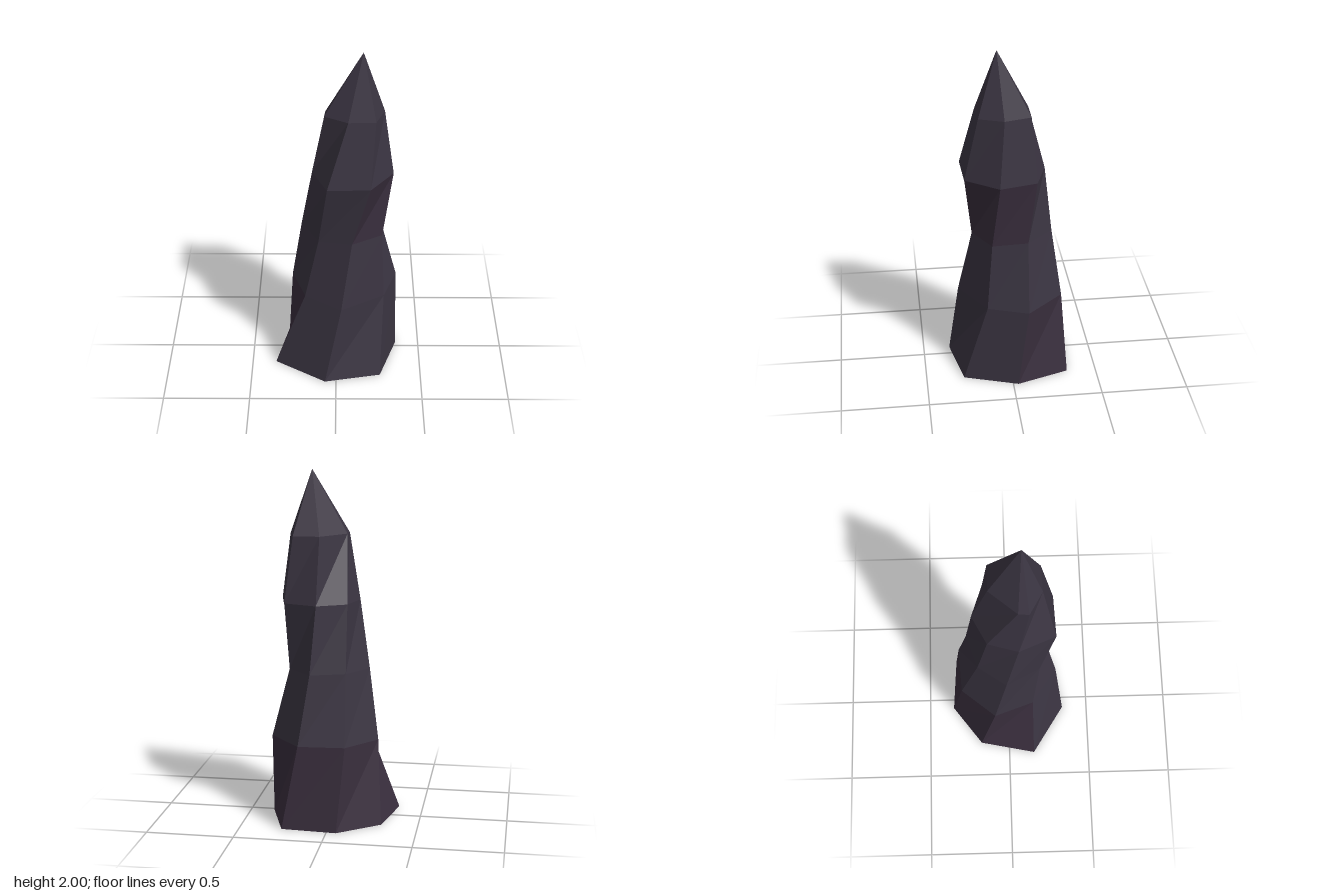
import * as THREE from 'three';

// Seven-sided cross-sections, [x, z] clockwise from the left when seen from above
const RINGS = [
  { y: 0, p: [[-0.29, -0.175], [-0.055, -0.35], [0.26, -0.33], [0.36, -0.03], [0.26, 0.28], [-0.065, 0.345], [-0.36, 0.155]] },
  { y: 0.48, p: [[-0.26, -0.085], [-0.095, -0.285], [0.17, -0.3], [0.355, -0.09], [0.278, 0.14], [0.03, 0.29], [-0.18, 0.145]] },
  { y: 0.88, p: [[-0.2, -0.015], [-0.085, -0.18], [0.11, -0.245], [0.25, -0.095], [0.262, 0.11], [0.09, 0.21], [-0.1, 0.18]] },
  { y: 1.265, p: [[-0.135, 0.055], [-0.085, -0.12], [0.08, -0.205], [0.27, -0.14], [0.32, 0.07], [0.19, 0.255], [-0.05, 0.265]] },
  { y: 1.64, p: [[-0.065, 0.11], [-0.06, 0.05], [0.075, -0.11], [0.225, -0.11], [0.265, 0.04], [0.215, 0.178], [0.065, 0.185]] },
];
const APEX = [0.145, 2, 0.07];
const SIDES = 7;

// Facets of warmer stone, as band:side
const WARM = new Set(['0:0', '0:1', '0:2', '0:6', '2:3', '2:4']);

function facetMesh(name, triangles, material) {
  const geometry = new THREE.BufferGeometry();
  geometry.setAttribute('position', new THREE.Float32BufferAttribute(triangles.flat(2), 3));
  geometry.computeVertexNormals();
  const mesh = new THREE.Mesh(geometry, material);
  mesh.name = name;
  return mesh;
}

export function createModel() {
  const stone = new THREE.MeshStandardMaterial({ color: 0x3a3441, flatShading: true });
  stone.name = 'dark stone';
  const warmStone = new THREE.MeshStandardMaterial({ color: 0x392e3d, flatShading: true });
  warmStone.name = 'warm dark stone';

  const at = (ring, i) => {
    const [x, z] = RINGS[ring].p[i % SIDES];
    return [x, RINGS[ring].y, z];
  };
  const shaft = [], warm = [], tip = [], base = [];

  // Shaft: twisted bands between neighbouring rings
  for (let r = 0; r < RINGS.length - 1; r++) {
    for (let i = 0; i < SIDES; i++) {
      const a = at(r, i), b = at(r, i + 1), c = at(r + 1, i + 1), d = at(r + 1, i);
      (WARM.has(`${r}:${i}`) ? warm : shaft).push([b, a, d], [b, d, c]);
    }
  }
  // Pointed tip and flat underside
  for (let i = 0; i < SIDES; i++) tip.push([at(4, i + 1), at(4, i), APEX]);
  for (let i = 1; i < SIDES - 1; i++) base.push([at(0, 0), at(0, i), at(0, i + 1)]);

  const group = new THREE.Group();
  group.name = 'rockSpire';
  group.add(
    facetMesh('shaft', shaft, stone),
    facetMesh('warmFacets', warm, warmStone),
    facetMesh('tip', tip, stone),
    facetMesh('underside', base, stone),
  );
  return group;
}
